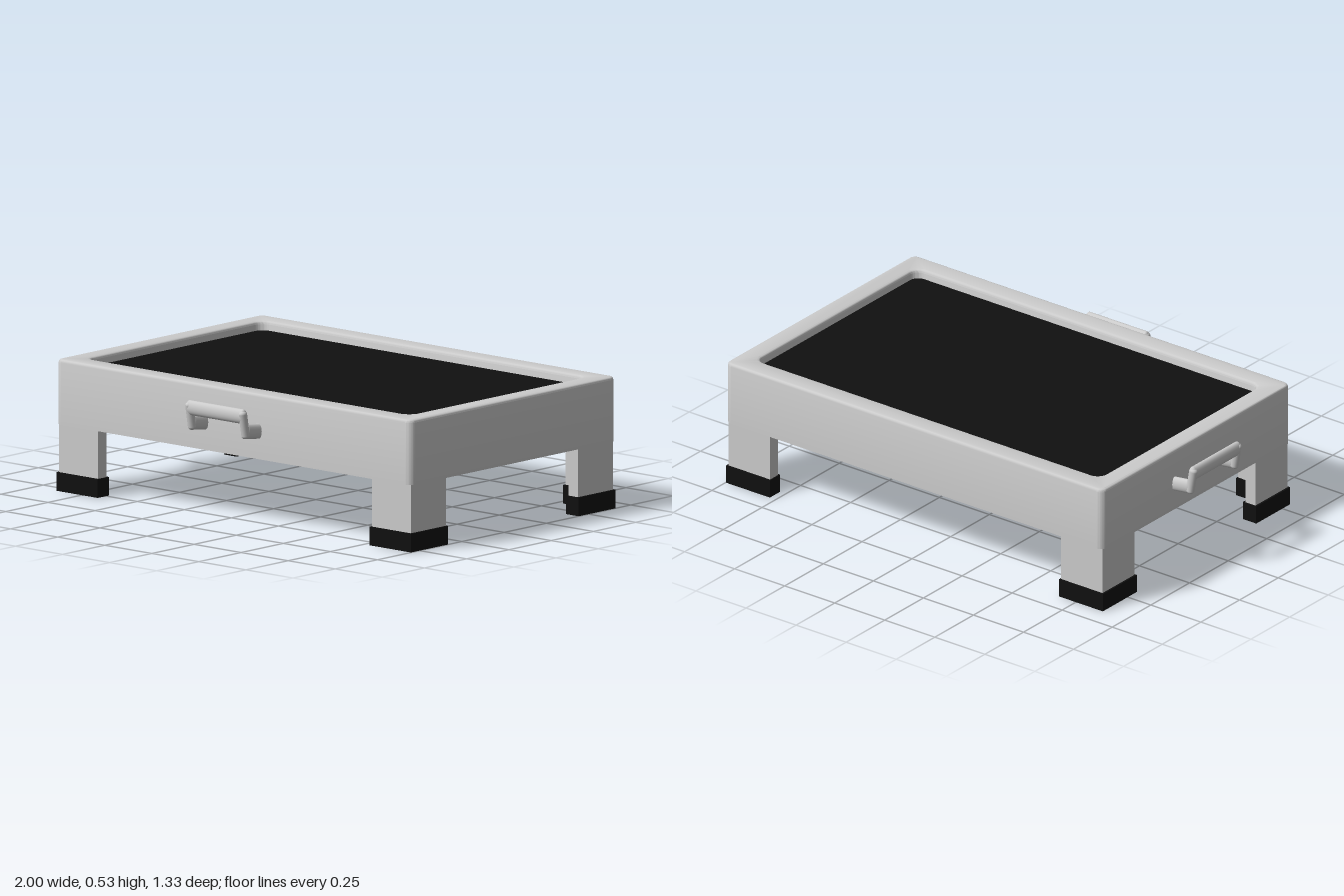
import * as THREE from 'three';
import { toCreasedNormals } from 'three/addons/utils/BufferGeometryUtils.js';

const CENTER = { x: 0.0575, z: -0.055 };
const WIDTH = 1.885, DEPTH = 1.22, BOTTOM = 0.27, TOP = 0.532;

const grey = new THREE.MeshStandardMaterial({ color: 0xcccccc });
const black = new THREE.MeshStandardMaterial({ color: 0x101010 });

function part(name, geometry, material) {
  const mesh = new THREE.Mesh(geometry, material);
  mesh.name = name;
  return mesh;
}

function roundedRect(path, w, d, r) {
  const x = w / 2, y = d / 2;
  path.absarc(x - r, y - r, r, 0, Math.PI / 2);
  path.absarc(-x + r, y - r, r, Math.PI / 2, Math.PI);
  path.absarc(-x + r, -y + r, r, Math.PI, Math.PI * 1.5);
  path.absarc(x - r, -y + r, r, Math.PI * 1.5, Math.PI * 2);
  path.closePath();
  return path;
}

// Frame with softened top edges and a flat underside
function frameGeometry() {
  const bevel = 0.012, height = TOP - BOTTOM;
  const shape = roundedRect(new THREE.Shape(), WIDTH, DEPTH, 0.03);
  shape.holes.push(roundedRect(new THREE.Path(), WIDTH - 0.17, DEPTH - 0.185, 0.04));
  const geo = new THREE.ExtrudeGeometry(shape, {
    depth: height - bevel, bevelThickness: bevel, bevelSize: bevel,
    bevelOffset: -bevel, bevelSegments: 3, curveSegments: 6,
  });
  const p = geo.attributes.position;
  for (let i = 0; i < p.count; i++) p.setZ(i, Math.max(0, p.getZ(i)));
  geo.rotateX(-Math.PI / 2);
  return toCreasedNormals(geo, 0.6);
}

// Upright angle section, corner at the origin, arms along +x and -z
function angleGeometry(arm, thick, height) {
  const shape = new THREE.Shape([
    [0, 0], [arm, 0], [arm, thick], [thick, thick], [thick, arm], [0, arm],
  ].map(([x, y]) => new THREE.Vector2(x, y)));
  return new THREE.ExtrudeGeometry(shape, { depth: height, bevelEnabled: false })
    .rotateX(-Math.PI / 2);
}

// Round-ended rod between two points, flattened by the two radii
function rod(name, from, to, rSide, rUp) {
  const a = new THREE.Vector3(...from), b = new THREE.Vector3(...to);
  const dir = b.clone().sub(a);
  const geo = new THREE.CapsuleGeometry(1, dir.length() / 0.014, 5, 20);
  geo.scale(rSide, 0.014, rUp);
  const mesh = part(name, geo, grey);
  mesh.quaternion.setFromUnitVectors(new THREE.Vector3(0, 1, 0), dir.normalize());
  mesh.position.copy(a).add(b).multiplyScalar(0.5);
  return mesh;
}

// Pull handle projecting along +z, with a raised grip
function createHandle(name) {
  const handle = new THREE.Group();
  handle.name = name;
  for (const s of [-1, 1]) {
    const x = s * 0.142;
    handle.add(rod('handleStub', [x, 0.382, -0.01], [x, 0.392, 0.07], 0.016, 0.03));
    handle.add(rod('handleUpright', [x, 0.377, 0.078], [x, 0.465, 0.094], 0.016, 0.018));
  }
  handle.add(rod('handleGrip', [-0.142, 0.455, 0.092], [0.142, 0.455, 0.092], 0.03, 0.018));
  return handle;
}

export function createModel() {
  const model = new THREE.Group();
  model.name = 'raisedPlatform';

  const platform = new THREE.Group();
  platform.name = 'platform';
  platform.position.set(CENTER.x, 0, CENTER.z);
  model.add(platform);

  const frame = part('frame', frameGeometry(), grey);
  frame.position.y = BOTTOM;

  // Dark inset deck, recessed above and below
  const deck = part('deck', new THREE.BoxGeometry(WIDTH - 0.15, 0.195, DEPTH - 0.165), black);
  deck.position.y = 0.398;
  platform.add(frame, deck);

  // Four angle legs with rubber feet
  const legGeo = angleGeometry(0.207, 0.05, 0.27);
  const footGeo = angleGeometry(0.22, 0.067, 0.075);
  [[-1, 1], [1, 1], [1, -1], [-1, -1]].forEach(([sx, sz], i) => {
    const leg = part('leg', legGeo, grey);
    leg.position.set(sx * 0.934, 0.008, sz * 0.598);
    const foot = part('foot', footGeo, black);
    foot.position.set(sx * 0.942, 0, sz * 0.606);
    leg.rotation.y = foot.rotation.y = i * Math.PI / 2;
    platform.add(leg, foot);
  });

  // Handles on the front and on the right-hand end
  const front = createHandle('frontHandle');
  front.position.set(0.0525, 0, 0.555);
  const side = createHandle('sideHandle');
  side.position.set(-0.885, 0, CENTER.z);
  side.rotation.y = -Math.PI / 2;
  model.add(front, side);

  return model;
}
